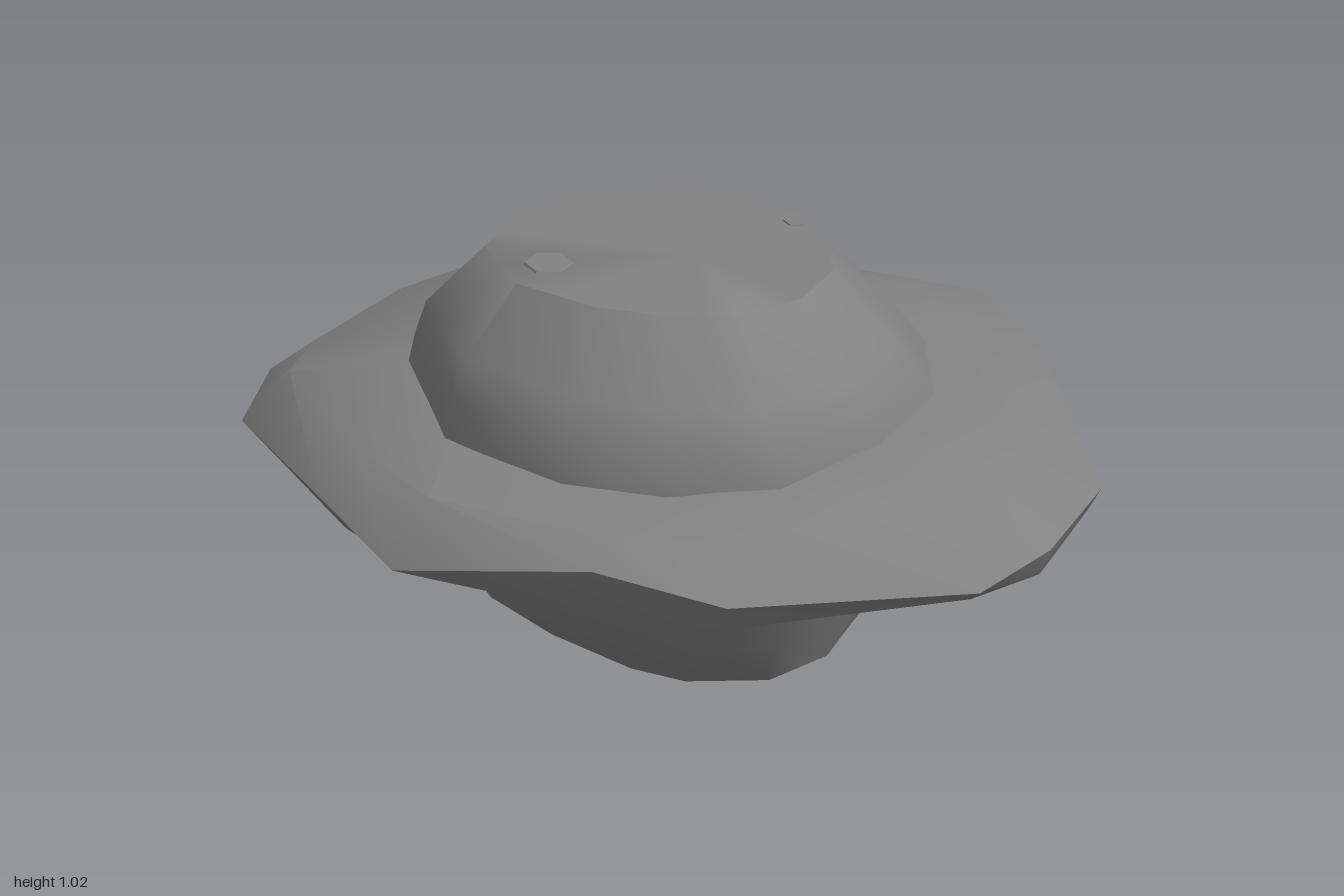
import * as THREE from 'three';
import { toCreasedNormals } from 'three/addons/utils/BufferGeometryUtils.js';

const V = (x, y, z) => new THREE.Vector3(x, y, z);

// Plan outline of the core, [x, z], with a midpoint on every side
const corners = [[-0.23, -0.58], [0.2, -0.56], [0.37, -0.43], [0.54, -0.19], [0.56, 0.1], [0.45, 0.38],
  [0.22, 0.53], [-0.02, 0.59], [-0.37, 0.53], [-0.63, 0.27], [-0.65, 0], [-0.56, -0.33]];
const bodyPlan = corners.flatMap(([x, z], i) => {
  const [nx, nz] = corners[(i + 1) % corners.length];
  return [[x, z], [(x + nx) / 2, (z + nz) / 2]];
});

// Sharp rim of the belt, [x, y, z]
const rim = [[0.23, 0.6, -0.87], [0.44, 0.62, -0.72], [0.58, 0.62, -0.59], [0.93, 0.53, -0.25],
  [1, 0.535, 0.1], [0.93, 0.49, 0.3], [0.51, 0.53, 0.74], [0.2, 0.585, 0.83], [-0.32, 0.47, 0.86],
  [-0.6, 0.54, 0.73], [-0.97, 0.52, 0.45], [-1, 0.57, 0.27], [-0.96, 0.58, -0.1], [-0.89, 0.57, -0.31],
  [-0.8, 0.56, -0.5], [-0.52, 0.55, -0.74], [-0.2, 0.58, -0.84]];

// Skin equal-length loops from bottom to top; a one-point loop closes an end
function loft(loops, crease) {
  const pos = [];
  const tri = (...p) => p.forEach((v) => pos.push(v.x, v.y, v.z));
  for (let k = 0; k < loops.length - 1; k++) {
    const a = loops[k], b = loops[k + 1], n = Math.max(a.length, b.length);
    for (let i = 0; i < n; i++) {
      const j = (i + 1) % n;
      if (b.length > 1) tri(a[i % a.length], b[i], b[j]);
      if (a.length > 1) tri(a[i], b[j % b.length], a[j]);
    }
  }
  const g = new THREE.BufferGeometry();
  g.setAttribute('position', new THREE.Float32BufferAttribute(pos, 3));
  return toCreasedNormals(g, crease);
}

// Fit the core outline into an x/z extent; height(x, z) gives y
function bodyLoop(height, x0, x1, z0, z1) {
  return bodyPlan.map(([px, pz]) => {
    const x = THREE.MathUtils.mapLinear(px, -0.65, 0.56, x0, x1);
    const z = THREE.MathUtils.mapLinear(pz, -0.58, 0.59, z0, z1);
    return V(x, height(x, z), z);
  });
}

// Loop halfway between two loops
const midLoop = (a, b) => a.map((p, i) => p.clone().lerp(b[i], 0.5));

// Push points that lie outside a chipped plane back onto it
function chip(loops, normal, d) {
  normal.normalize();
  for (const p of loops.flat()) {
    const over = p.dot(normal) - d;
    if (over > 0) p.addScaledVector(normal, -over);
  }
}

// Distance from the centre to the core outline at an angle
function bodyRadius(angle) {
  const dx = Math.cos(angle), dz = Math.sin(angle);
  for (let i = 0; i < bodyPlan.length; i++) {
    const [ax, az] = bodyPlan[i], [bx, bz] = bodyPlan[(i + 1) % bodyPlan.length];
    const ex = bx - ax, ez = bz - az, den = dx * ez - dz * ex;
    const r = (ax * ez - az * ex) / den, t = (ax * dz - az * dx) / den;
    if (r > 0 && t >= -1e-6 && t <= 1 + 1e-6) return r;
  }
  return 0.58;
}

// Blend of four values: +x, -x, +z, -z sides
function bySide(x, z, [px, nx, pz, nz]) {
  return ((x > 0 ? px : nx) * x * x + (z > 0 ? pz : nz) * z * z) / (x * x + z * z);
}

export function createModel() {
  const group = new THREE.Group();
  const material = new THREE.MeshStandardMaterial({ color: 0x828282 });
  const add = (name, geometry) => {
    const mesh = new THREE.Mesh(geometry, material);
    mesh.name = name;
    group.add(mesh);
    return mesh;
  };

  // Pointed, slanted underside with chipped faces at the front left, left and back left
  const low = bodyLoop((x, z) => 0.1 - 0.05 * x - 0.19 * z, -0.44, 0.36, -0.3, 0.28);
  const middle = bodyLoop((x) => 0.23 + 0.06 * x + 0.12 * Math.max(x, 0), -0.57, 0.49, -0.54, 0.46);
  const high = bodyLoop(() => 0.46, -0.66, 0.54, -0.61, 0.62);
  const keel = [[V(0.07, 0, 0.19)], low, midLoop(low, middle), middle, midLoop(middle, high), high];
  chip(keel, V(0.415, -0.563, 0.711), 0.221);
  chip(keel, V(0.93, -0.337, 0.13), 0.335);
  chip(keel, V(0.81, 0, -0.58), 0.51);
  add('keel', loft(keel, 0.6));

  // Flat-topped dome
  add('dome', loft([
    bodyLoop(() => 0.66, -0.65, 0.56, -0.58, 0.6),
    bodyLoop(() => 0.77, -0.62, 0.53, -0.49, 0.58),
    bodyLoop(() => 0.85, -0.6, 0.49, -0.42, 0.53),
    bodyLoop((x) => 1.015 + 0.05 * Math.min(x, 0), -0.48, 0.33, -0.29, 0.38),
    [V(0, 1.015, 0.03)],
  ], 0.8));

  // Surrounding belt: flat below, uneven sharp rim, sloping above
  const belt = [[], [], [], [], []];
  for (const [x, y, z] of rim) {
    const side = (...v) => bySide(x, z, v);
    const inner = bodyRadius(Math.atan2(z, x)) / Math.hypot(x, z);
    const points = [
      [inner * 0.85, 0.43],
      [side(0.97, 0.92, 0.93, 0.83), side(0.465, 0.44, 0.445, 0.44)],
      [1, y],
      [side(0.83, 0.9, 0.88, 0.74), side(0.685, 0.66, 0.62, 0.695)],
      [inner * 0.93, side(0.705, 0.705, 0.66, 0.71)],
    ];
    points.forEach(([k, h], i) => belt[i].push(V(x * k, h, z * k)));
  }
  add('belt', loft(belt, 0.8));

  // Chip wedged where the belt meets the dome
  add('backShard', loft([
    [V(-0.5, 0.685, -0.56), V(-0.22, 0.705, -0.58), V(-0.37, 0.715, -0.48)],
    [V(-0.29, 0.73, -0.51)],
  ], 0.1));

  // Small, nearly flush knobs on the crown
  for (const [x, y, z, r] of [[0.11, 1.008, -0.245, 0.04], [-0.28, 0.995, 0.22, 0.07]]) {
    add('crownKnob', toCreasedNormals(new THREE.CylinderGeometry(r * 0.8, r, 0.02, 6), 0.3)).position.set(x, y, z);
  }
  return group;
}
